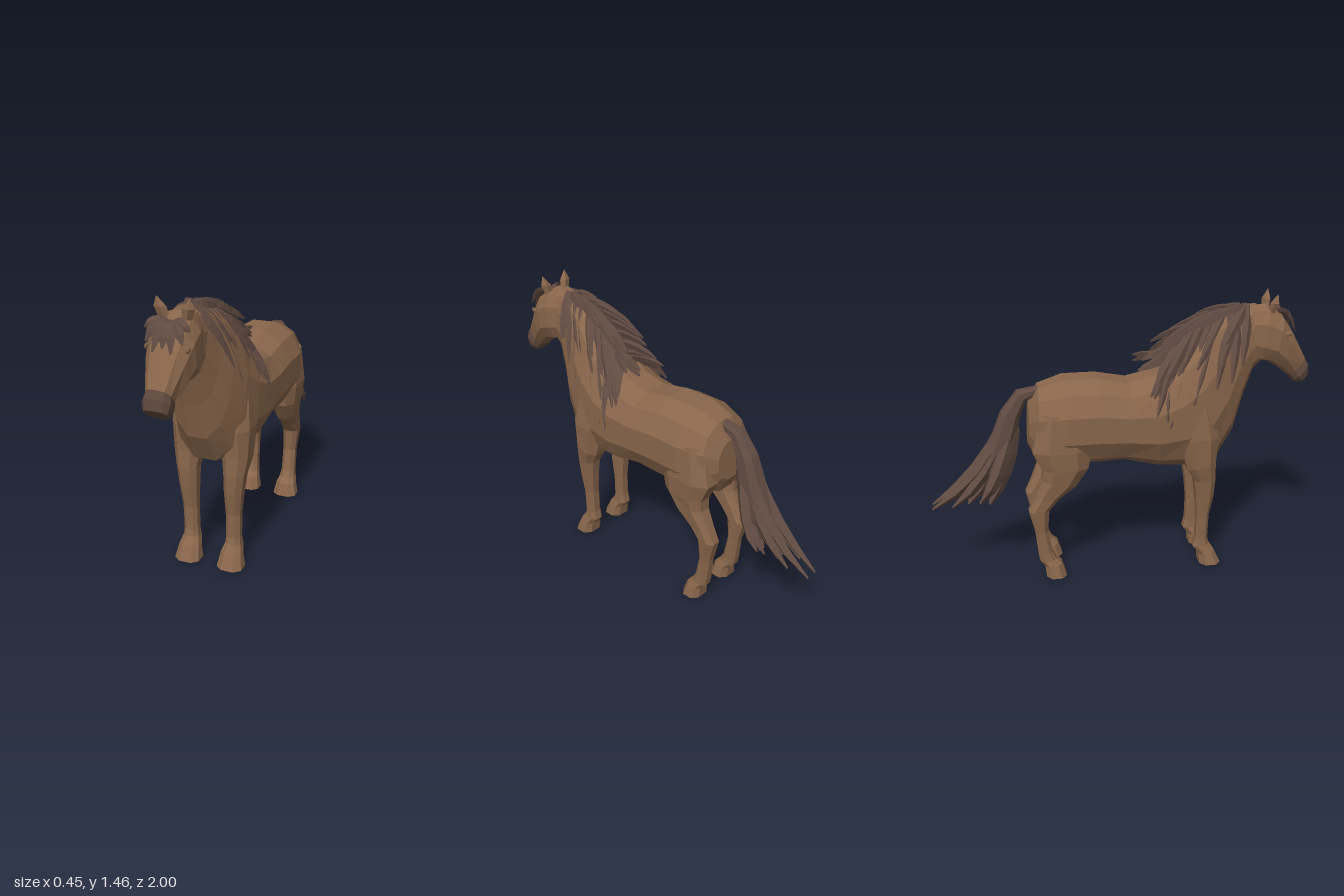
import * as THREE from 'three';

const V = (x, y, z) => new THREE.Vector3(x, y, z);
const paint = (name, hex) => {
  const m = new THREE.MeshStandardMaterial({ color: hex });
  m.name = name;
  return m;
};

// Skins a list of closed rings with flat facets and caps both ends
function skin(rings) {
  const pos = [];
  const tri = (...pts) => pts.forEach((p) => pos.push(p.x, p.y, p.z));
  const n = rings[0].length;
  const mid = (r) => r.reduce((s, p) => s.add(p), V(0, 0, 0)).divideScalar(n);
  const first = rings[0], last = rings[rings.length - 1];
  const c0 = mid(first), c1 = mid(last);
  for (let j = 0; j < n; j++) {
    const k = (j + 1) % n;
    for (let i = 0; i + 1 < rings.length; i++) {
      const a = rings[i], b = rings[i + 1];
      tri(a[j], a[k], b[j]);
      tri(a[k], b[k], b[j]);
    }
    tri(c0, first[k], first[j]);
    tri(c1, last[j], last[k]);
  }
  const geo = new THREE.BufferGeometry();
  geo.setAttribute('position', new THREE.Float32BufferAttribute(pos, 3));
  geo.computeVertexNormals();
  return geo;
}

// Section: [upper z, upper y, lower z, lower y, half width, centre x]
function loft(sections, sides, side = 1, box = 0.8) {
  const soft = (v) => Math.sign(v) * Math.pow(Math.abs(v), box);
  return skin(sections.map(([tz, ty, bz, by, w, x = 0]) =>
    Array.from({ length: sides }, (_, j) => {
      const a = ((j + 0.5) / sides) * Math.PI * 2;
      const s = soft(Math.sin(a)) / soft(Math.sin(Math.PI / 2 - (sides % 4 ? 0 : Math.PI / sides)));
      return V(x * side + w * soft(Math.cos(a)) / soft(Math.cos(Math.PI / sides)),
        (ty + by) / 2 + s * (ty - by) / 2, (tz + bz) / 2 + s * (tz - bz) / 2);
    })));
}

// Flat tapering lock of hair; its broad face looks along "facing"
function lock(root, bend, tip, width, thick, facing) {
  const curve = new THREE.QuadraticBezierCurve3(root, bend, tip);
  const taper = [0.7, 1, 1, 0.8, 0.2];
  return skin(taper.map((k, i) => {
    const t = i / (taper.length - 1);
    const p = curve.getPoint(t), dir = curve.getTangent(t);
    const s = dir.clone().cross(facing).normalize();
    const u = dir.clone().cross(s);
    return [0, 1, 2, 3].map((j) => p.clone()
      .addScaledVector(s, Math.cos(j * Math.PI / 2) * width * k)
      .addScaledVector(u, Math.sin(j * Math.PI / 2) * thick * k));
  }));
}

export function createModel() {
  const horse = new THREE.Group();
  horse.name = 'horse';
  const coat = paint('brown coat', 0x89664b);
  const hair = paint('dark hair', 0x614b42);
  const dark = paint('dark muzzle', 0x5f483d);
  const add = (name, geo, mat, parent = horse) => {
    const m = new THREE.Mesh(geo, mat);
    m.name = name;
    parent.add(m);
    return m;
  };
  const group = (name) => {
    const g = new THREE.Group();
    g.name = name;
    horse.add(g);
    return g;
  };
  let seed = 7;
  const jit = (amount) => {
    seed = (seed * 16807) % 2147483647;
    return (seed / 2147483647 - 0.5) * 2 * amount;
  };

  // Trunk and neck
  add('bodyAndNeck', loft([
    [-0.48, 0.93, -0.49, 0.72, 0.1], [-0.43, 1.02, -0.45, 0.64, 0.168],
    [-0.3, 1.06, -0.3, 0.61, 0.21], [-0.13, 1.06, -0.12, 0.61, 0.211],
    [0.03, 1.03, 0, 0.615, 0.209], [0.16, 1.06, 0.18, 0.57, 0.207],
    [0.26, 1.14, 0.36, 0.555, 0.2], [0.35, 1.24, 0.5, 0.59, 0.182],
    [0.43, 1.32, 0.59, 0.74, 0.15], [0.5, 1.36, 0.64, 0.92, 0.115],
    [0.6, 1.385, 0.69, 1.06, 0.086], [0.7, 1.395, 0.74, 1.11, 0.082],
  ], 12, 1, 0.9), coat);

  // Head, muzzle, ears, eyelids
  add('head', loft([
    [0.67, 1.39, 0.66, 1.12, 0.08], [0.75, 1.395, 0.72, 1.1, 0.104],
    [0.83, 1.35, 0.78, 1.09, 0.108], [0.89, 1.265, 0.83, 1.06, 0.093],
    [0.975, 1.115, 0.888, 1.015, 0.06],
  ], 10), coat);
  add('muzzle', loft([
    [0.975, 1.115, 0.888, 1.015, 0.06], [0.994, 1.08, 0.91, 0.985, 0.067],
    [1.0, 1.03, 0.937, 0.97, 0.055],
  ], 10), dark);
  for (const s of [1, -1]) {
    add(s > 0 ? 'leftEar' : 'rightEar', skin([
      [0.052, 1.36, 0.765, 0.026], [0.066, 1.41, 0.775, 0.03], [0.076, 1.455, 0.785, 0.002],
    ].map(([x, y, z, r]) => [0, 1, 2, 3, 4].map((j) => {
      const a = (j / 5) * Math.PI * 2;
      return V(x * s + Math.cos(a) * r, y, z + Math.sin(a) * r * 0.75);
    }).reverse())), coat);
    const lid = add(s > 0 ? 'leftEyelid' : 'rightEyelid', new THREE.SphereGeometry(1, 6, 4), coat);
    lid.scale.set(0.007, 0.014, 0.022);
    lid.position.set(0.096 * s, 1.255, 0.85);
  }

  // Legs: each section runs front edge, back edge, half width, centre x
  const legs = {
    Front: [
      [0.45, 0.92, 0.27, 0.92, 0.07, 0.115], [0.485, 0.74, 0.28, 0.74, 0.08, 0.122],
      [0.475, 0.6, 0.325, 0.57, 0.067, 0.127], [0.48, 0.5, 0.365, 0.5, 0.053, 0.125],
      [0.475, 0.4, 0.38, 0.4, 0.046, 0.12], [0.455, 0.28, 0.39, 0.28, 0.038, 0.116],
      [0.453, 0.15, 0.387, 0.15, 0.037, 0.115], [0.462, 0.115, 0.375, 0.1, 0.041, 0.115],
      [0.49, 0.075, 0.405, 0.06, 0.053, 0.115], [0.525, 0, 0.41, 0, 0.066, 0.116],
    ],
    Hind: [
      [-0.2, 0.9, -0.43, 0.92, 0.07, 0.12], [-0.18, 0.72, -0.475, 0.72, 0.078, 0.127],
      [-0.195, 0.62, -0.43, 0.62, 0.067, 0.13], [-0.26, 0.52, -0.43, 0.56, 0.057, 0.127],
      [-0.345, 0.45, -0.47, 0.46, 0.047, 0.122], [-0.4, 0.385, -0.505, 0.385, 0.044, 0.12],
      [-0.41, 0.26, -0.475, 0.26, 0.036, 0.115], [-0.388, 0.14, -0.463, 0.13, 0.037, 0.115],
      [-0.37, 0.1, -0.455, 0.09, 0.042, 0.115], [-0.34, 0.07, -0.43, 0.06, 0.053, 0.115],
      [-0.318, 0, -0.425, 0, 0.066, 0.116],
    ],
  };
  for (const [name, sections] of Object.entries(legs)) {
    for (const s of [1, -1]) add((s > 0 ? 'left' : 'right') + name + 'Leg', loft(sections, 8, s), coat);
  }

  // Mane: three layers of locks per side, from hanging to swept back
  const mane = group('mane');
  const crest = new THREE.CatmullRomCurve3([
    V(0, 1.385, 0.65), V(0, 1.37, 0.54), V(0, 1.33, 0.42), V(0, 1.235, 0.32), V(0, 1.13, 0.23),
  ]);
  const count = 10;
  for (const s of [1, -1]) for (let row = 0; row < 3; row++) for (let i = 0; i < count; i++) {
    const t = Math.min(1, (i + row * 0.3) / (count - 1));
    const arch = Math.sin(Math.PI * t);
    const root = crest.getPoint(t).add(V(0.015 * s, 0.005, 0));
    const out = [0.15 + 0.05 * t, 0.13 + 0.035 * t, 0.05 + 0.02 * t][row] + jit(0.018);
    const dy = [-0.24 - 0.24 * arch, -0.17 - 0.15 * arch, -0.03 - 0.07 * arch][row] + jit(0.035);
    const dz = [-0.06 - 0.1 * arch, -0.09 - 0.1 * arch, -0.14 - 0.06 * arch][row] + jit(0.035);
    const tip = root.clone().add(V(out * s, dy, dz));
    const bend = root.clone().add(V(out * (0.55 + 0.15 * t) * s, dy * 0.35 + 0.01, dz * 0.4));
    add('maneLock', lock(root, bend, tip, 0.026, 0.02, V(s, row * 0.7, 0)), hair, mane);
  }

  // Forelock fanning over the forehead: tip x, tip y, tip z
  const forelock = group('forelock');
  const fringe = [[0.105, 1.335, 0.845], [0.085, 1.285, 0.88], [0.042, 1.25, 0.905]];
  for (const s of [1, -1]) for (const [x, y, z] of fringe) {
    add('forelockLock', lock(V(x * 0.2 * s, 1.36, 0.81), V(x * 0.6 * s, 1.375, 0.865),
      V(x * s, y, z), 0.025, 0.009, V(0, 0.6, 1)), hair, forelock);
  }
  add('forelockLock', lock(V(0, 1.36, 0.81), V(0, 1.37, 0.885), V(0.005, 1.27, 0.905),
    0.027, 0.009, V(0, 0.6, 1)), hair, forelock);

  // Tail: a solid upper part with loose locks below
  const tail = group('tail');
  add('tailBase', loft([
    [-0.44, 0.97, -0.43, 1.02, 0.028], [-0.49, 0.95, -0.535, 1.0, 0.04],
    [-0.525, 0.86, -0.62, 0.89, 0.052], [-0.56, 0.71, -0.68, 0.74, 0.062],
    [-0.61, 0.56, -0.74, 0.6, 0.06], [-0.67, 0.46, -0.82, 0.5, 0.03],
  ], 8), hair, tail);
  const tips = [
    [0.03, 0.387, -0.995], [0.05, 0.4, -0.89], [0.02, 0.4, -0.81],
    [0.1, 0.45, -0.74], [0.05, 0.41, -0.75], [0.015, 0.385, -0.7],
  ];
  for (const s of [1, -1]) tips.forEach(([x, y, z], i) => {
    const k = i / (tips.length - 1);
    add('tailLock', lock(V(0.022 * s, 0.84 - 0.04 * k, -0.6 + 0.05 * k),
      V((x + 0.01) * s, 0.54, -0.72 + 0.12 * k), V(x * s, y, z),
      0.034, 0.025, V(s, 0, 0)), hair, tail);
  });
  return horse;
}
